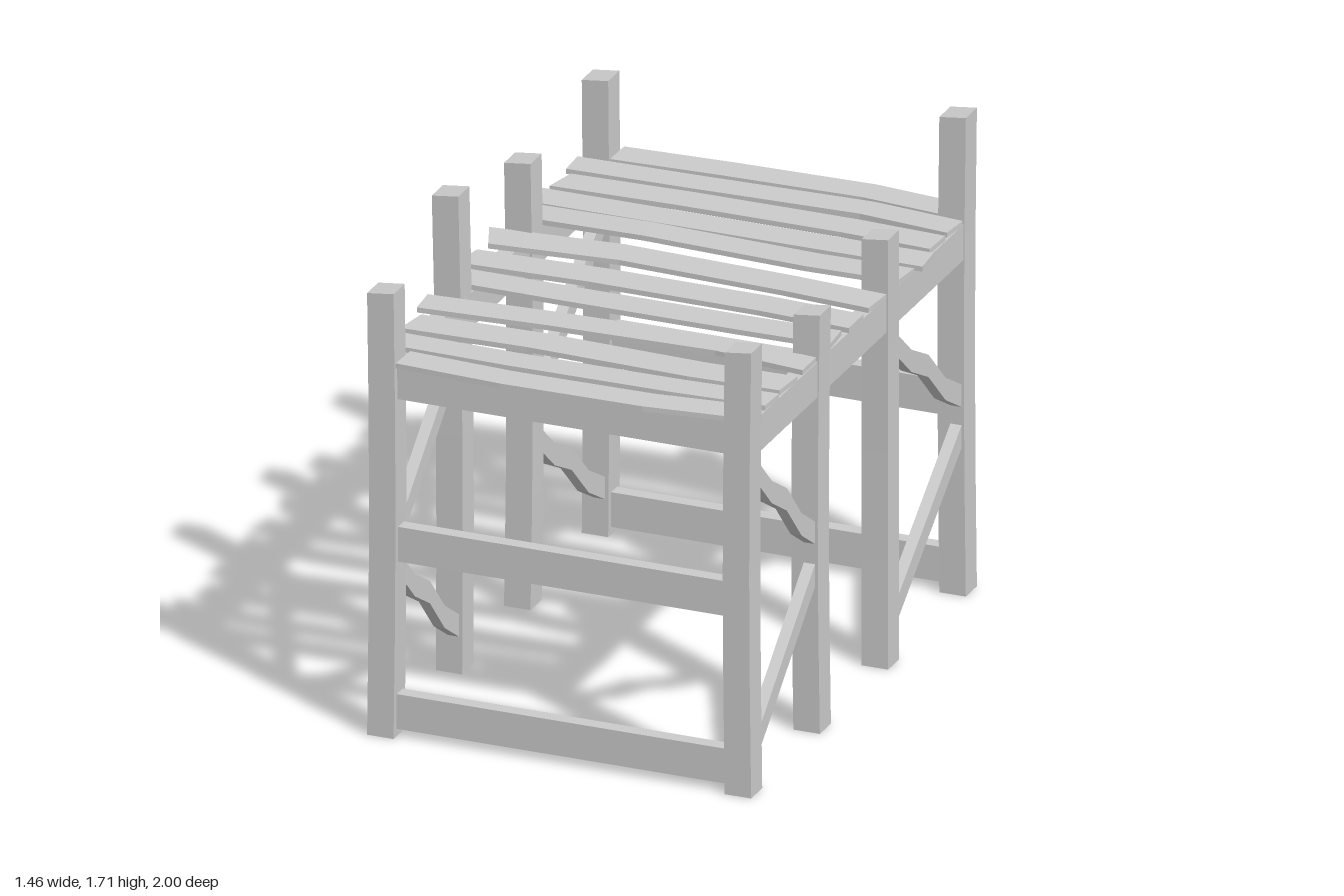
import * as THREE from 'three';

const wood = new THREE.MeshStandardMaterial({ color: 0xcccccc, flatShading: true });

// Box whose vertices are moved by a rule
function bentBox(name, size, segments, rule) {
  const geo = new THREE.BoxGeometry(...size, ...segments);
  const pos = geo.attributes.position;
  const v = new THREE.Vector3();
  for (let i = 0; i < pos.count; i++) {
    v.fromBufferAttribute(pos, i);
    rule(v);
    pos.setXYZ(i, v.x, v.y, v.z);
  }
  geo.computeVertexNormals();
  const mesh = new THREE.Mesh(geo, wood);
  mesh.name = name;
  return mesh;
}

function bar(name, size, at) {
  const mesh = new THREE.Mesh(new THREE.BoxGeometry(...size), wood);
  mesh.name = name;
  mesh.position.set(...at);
  return mesh;
}

// Linear interpolation through evenly spaced values, t from 0 to 1
function sample(values, t) {
  const f = Math.min(Math.max(t, 0), 1) * (values.length - 1);
  const i = Math.min(Math.floor(f), values.length - 2);
  return THREE.MathUtils.lerp(values[i], values[i + 1], f - i);
}

// Slightly crooked post standing on the ground
function post(x, z, height, leanX, bowX, bowZ) {
  return bentBox('post', [0.094, height, 0.094], [1, 4, 1], (v) => {
    const t = v.y / height + 0.5;
    const bow = Math.sin(Math.PI * t);
    if (t > 0.99) v.y += v.x * 0.12 - 0.005;
    v.x += x + leanX * t * t + bowX * bow;
    v.z += z + bowZ * bow;
    v.y += height / 2;
  });
}

// Diagonal brace with vertical ends; wave gives the warped ones their S shape
function brace(name, x, zA, yA, zB, yB, wave) {
  return bentBox(name, [0.04, 0.08, 1], [1, 1, 4], (v) => {
    const t = 0.5 - v.z;
    v.x += x;
    v.y += THREE.MathUtils.lerp(yA, yB, t) + sample([0, -0.018, 0.012, -0.022, 0], t) * wave;
    v.z = THREE.MathUtils.lerp(zA, zB, t);
  });
}

// Deck board: skewed ends and a centre line that wanders in z
function plank([xBackL, xFrontL, xBackR, xFrontR, zs, width], lift) {
  return bentBox('deckPlank', [1, 0.018, width], [3, 1, 1], (v) => {
    const t = v.x + 0.5;
    const front = v.z > 0;
    const s = sample([0, 0.33, 0.76, 1], t);
    v.x = THREE.MathUtils.lerp(front ? xFrontL : xBackL, front ? xFrontR : xBackR, s);
    v.z += sample(zs, t);
    v.y += 1.335 + sample([0, lift, lift * 0.3, 0], t);
  });
}

export function createModel() {
  const model = new THREE.Group();
  model.name = 'woodenDock';

  // Posts: x, z, height, lean, bows
  const posts = [
    [-0.612, 0.922, 1.585, 0, 0.007, 0],
    [-0.612, 0.342, 1.7, -0.014, 0.006, 0.004],
    [-0.612, -0.235, 1.59, 0, 0.006, -0.005],
    [-0.612, -0.891, 1.625, 0, 0.005, 0],
    [0.658, 0.922, 1.585, 0, -0.007, 0],
    [0.658, 0.342, 1.49, 0, -0.004, 0.008],
    [0.658, -0.235, 1.53, 0, -0.004, -0.007],
    [0.658, -0.891, 1.705, 0, -0.006, 0.002],
  ];
  for (const p of posts) model.add(post(...p));

  // Cross rails at both ends
  for (const z of [0.922, -0.891])
    for (const y of [0.09, 0.687, 1.266])
      model.add(bar('endRail', [1.19, 0.124, 0.05], [0.023, y, z]));

  // Side beams and zig-zag braces, with the warped brace high on one side and low on the other
  for (const [x, warpedHigh] of [[-0.596, false], [0.671, true]]) {
    model.add(bar('sideBeam', [0.054, 0.126, 1.74], [x, 1.263, 0.016]));
    for (const [zA, zB] of [[0.885, 0.385], [-0.275, -0.85]]) {
      if (warpedHigh) {
        model.add(brace('warpedBrace', x, zA, 1.13, zB, 0.71, 1));
        model.add(brace('straightBrace', x, zA, 0.15, zB, 0.575, 0));
      } else {
        model.add(brace('straightBrace', x, zA, 0.70, zB, 1.13, 0));
        model.add(brace('warpedBrace', x, zA, 0.585, zB, 0.17, 1));
      }
    }
  }

  // Deck planks from back to front: end corners in x, centre line in z, width
  const planks = [
    [-0.56, -0.57, 0.60, 0.605, [-0.912, -0.93, -0.942, -0.912], 0.115],
    [-0.67, -0.665, 0.70, 0.69, [-0.78, -0.79, -0.81, -0.775], 0.11],
    [-0.635, -0.66, 0.695, 0.69, [-0.635, -0.65, -0.65, -0.635], 0.12],
    [-0.73, -0.72, 0.715, 0.725, [-0.49, -0.49, -0.49, -0.49], 0.12],
    [-0.675, -0.65, 0.705, 0.695, [-0.36, -0.345, -0.335, -0.35], 0.115],
    [-0.71, -0.66, 0.705, 0.695, [-0.12, -0.16, -0.135, -0.11], 0.128],
    [-0.675, -0.695, 0.70, 0.70, [0.065, 0.045, 0.05, 0.07], 0.125],
    [-0.68, -0.675, 0.685, 0.695, [0.22, 0.225, 0.225, 0.22], 0.12],
    [-0.68, -0.67, 0.695, 0.695, [0.465, 0.435, 0.415, 0.455], 0.115],
    [-0.635, -0.655, 0.70, 0.69, [0.635, 0.62, 0.64, 0.63], 0.13],
    [-0.70, -0.665, 0.70, 0.695, [0.785, 0.795, 0.79, 0.775], 0.11],
    [-0.55, -0.555, 0.60, 0.605, [0.92, 0.942, 0.935, 0.905], 0.112],
  ];
  planks.forEach((p, i) => model.add(plank(p, i === 4 ? 0.012 : 0)));

  return model;
}
